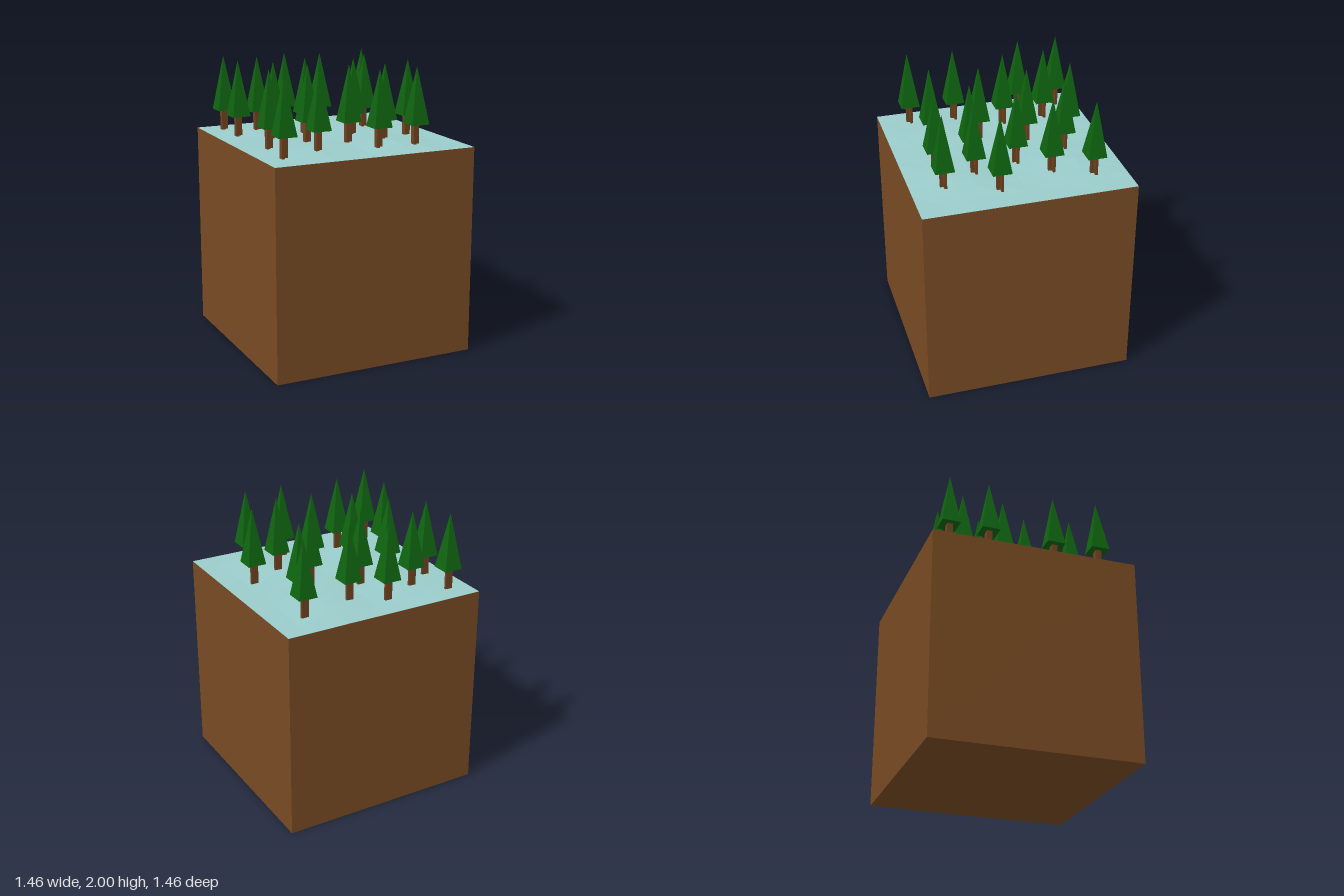
import * as THREE from 'three';

const SIDE = 1.46, TOP = 1.46;

// x, z of every tree
const TREES = [
  [-0.575, -0.575], [-0.38, -0.42], [-0.12, -0.53], [0.11, -0.415], [0.495, -0.5],
  [-0.575, -0.29], [-0.10, -0.21], [0.385, -0.24], [-0.38, -0.12], [0.2, -0.045],
  [-0.22, 0.10], [0.525, 0.16], [-0.545, 0.2], [0.03, 0.23], [0.285, 0.27],
  [-0.29, 0.43], [-0.575, 0.52], [0.125, 0.5], [0.4, 0.51],
];

function material(name, color) {
  const m = new THREE.MeshStandardMaterial({ color, flatShading: true });
  m.name = name;
  return m;
}

function mesh(name, geometry, mat) {
  const m = new THREE.Mesh(geometry, mat);
  m.name = name;
  return m;
}

// Ground sheet with four very low mounds that fade out at the rim
function groundGeometry() {
  const g = new THREE.PlaneGeometry(SIDE, SIDE, 10, 10).rotateX(-Math.PI / 2);
  const p = g.attributes.position;
  const mounds = [[0.27, 0.38, 0.025], [-0.35, 0.36, 0.018], [0.25, -0.4, 0.019], [-0.36, -0.38, 0.018]];
  for (let i = 0; i < p.count; i++) {
    let y = TOP + 0.001;
    for (const [x, z, h] of mounds) {
      const d = Math.hypot(p.getX(i) - x, p.getZ(i) - z);
      y += h * Math.max(0, 1 - d / 0.36);
    }
    p.setY(i, y);
  }
  g.computeVertexNormals();
  return g;
}

// Trunk with a notch along its front left corner
function trunkGeometry() {
  const w = 0.026, d = 0.02;
  const s = new THREE.Shape([
    [-w, -d], [-0.004, -d], [-0.004, 0.002], [w, 0.002], [w, d], [-w, d],
  ].map(([x, y]) => new THREE.Vector2(x, y)));
  return new THREE.ExtrudeGeometry(s, { depth: 0.155, bevelEnabled: false })
    .rotateX(-Math.PI / 2).translate(0, TOP, 0);
}

export function createModel() {
  const model = new THREE.Group();
  model.name = 'forestBlock';
  const soil = material('soilBrown', 0x784b23);
  const bark = material('barkBrown', 0x6f4320);
  const ice = material('paleIce', 0x9acccb);
  const pine = material('pineGreen', 0x0f6410);

  // Soil cube and ground
  const block = mesh('soilBlock', new THREE.BoxGeometry(SIDE, TOP, SIDE), soil);
  block.position.y = TOP / 2 - 0.001;
  block.position.y = TOP / 2;
  model.add(block, mesh('ground', groundGeometry(), ice));

  // Trees share a trunk and a square pyramid crown
  const trunk = trunkGeometry();
  const crown = new THREE.ConeGeometry(0.0655 * Math.SQRT2, 0.39, 4)
    .rotateY(Math.PI / 4).translate(0, 1.805, 0);
  for (const [x, z] of TREES) {
    const tree = new THREE.Group();
    tree.name = 'tree';
    tree.add(mesh('trunk', trunk, bark), mesh('crown', crown, pine));
    tree.position.set(x, 0, z);
    model.add(tree);
  }
  return model;
}
